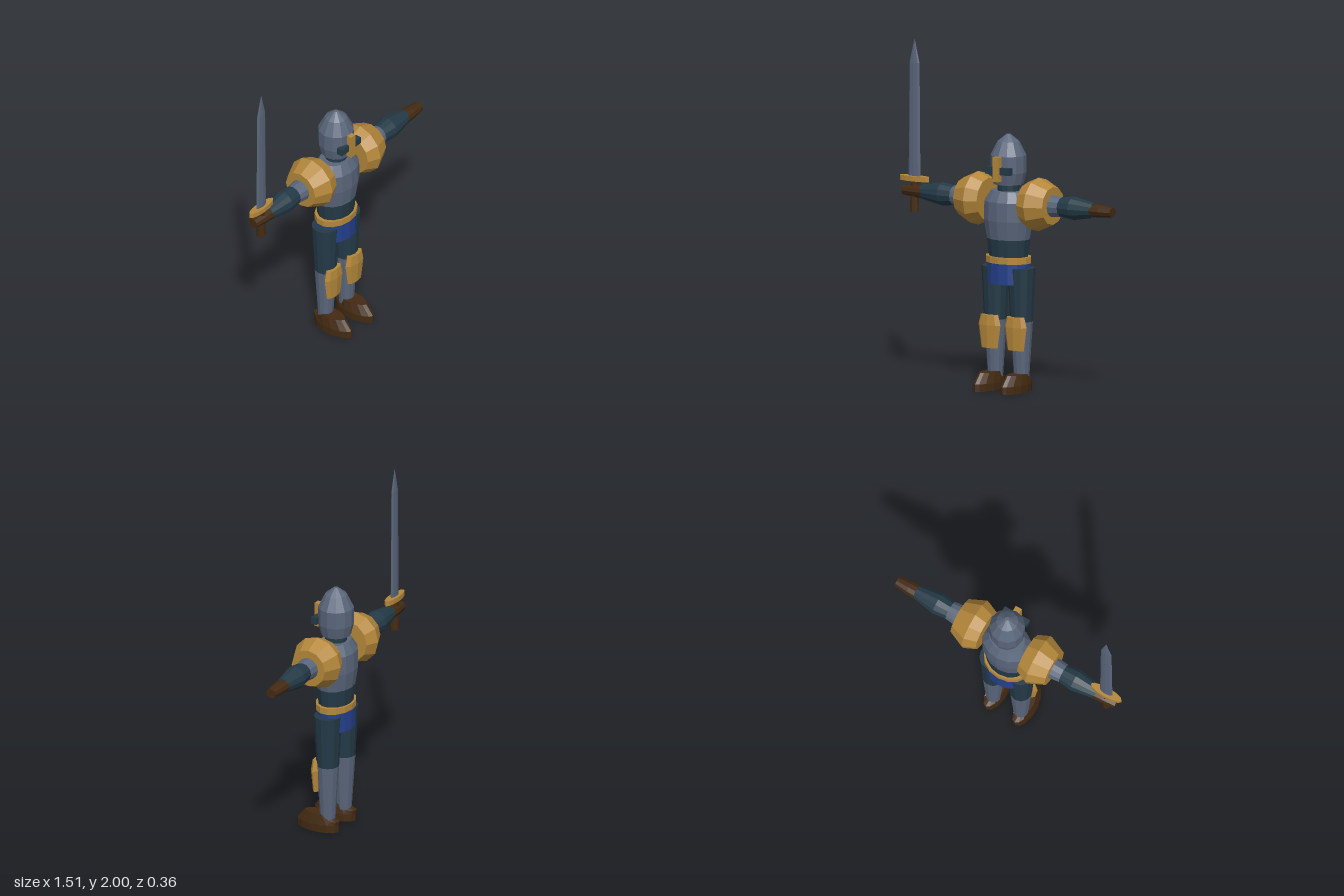
import * as THREE from 'three';

const mat = (name, color) => {
  const m = new THREE.MeshStandardMaterial({ color, flatShading: true });
  m.name = name;
  return m;
};

export function createModel() {
  const steel = mat('steel', 0x5a667b);
  const gold = mat('gold', 0xb4873a);
  const cloth = mat('dark teal', 0x243a47);
  const leather = mat('brown leather', 0x432a12);
  const blue = mat('blue cloth', 0x243f8a);

  const model = new THREE.Group();
  model.name = 'knight';
  const body = new THREE.Group();
  body.name = 'body';
  body.position.set(0.014, 0, -0.018);
  model.add(body);

  const add = (parent, name, geo, material, x = 0, y = 0, z = 0) => {
    const m = new THREE.Mesh(geo, material);
    m.name = name;
    m.position.set(x, y, z);
    parent.add(m);
    return m;
  };
  // Closed turned form from [radius, height] pairs, bottom to top
  const turned = (profile, segments = 12, sx = 1, sz = 1) => {
    const pts = profile.map(([r, y]) => new THREE.Vector2(r, y));
    pts.unshift(new THREE.Vector2(0, profile[0][1]));
    pts.push(new THREE.Vector2(0, profile[profile.length - 1][1]));
    return new THREE.LatheGeometry(pts, segments).scale(sx, 1, sz);
  };

  // Head
  add(body, 'neck', turned([[0.065, 1.14], [0.065, 1.24]]), cloth);
  add(body, 'helmet', turned([[0.088, 1.21], [0.105, 1.28], [0.105, 1.38], [0.065, 1.46], [0.012, 1.503]]), steel);
  add(body, 'visorSlit', new THREE.BoxGeometry(0.17, 0.042, 0.036), cloth, 0, 1.297, 0.1);
  add(body, 'noseGuard', new THREE.BoxGeometry(0.04, 0.145, 0.036), gold, 0, 1.308, 0.115);

  // Torso
  const flat = 0.78;
  add(body, 'chestPlate', turned([[0.136, 0.89], [0.156, 1.0], [0.153, 1.11], [0.11, 1.172]], 14, 1, flat), steel);
  add(body, 'waist', turned([[0.122, 0.77], [0.136, 0.89]], 14, 1, flat), cloth);
  add(body, 'belt', turned([[0.145, 0.75], [0.145, 0.788]], 14, 1, 0.75), gold);
  add(body, 'hipCloth', turned([[0.14, 0.628], [0.135, 0.76]], 14, 1, 0.76), blue);

  // Boot: an oval whose upper ring is drawn in and slopes down to the heel
  const bootGeo = () => {
    const g = turned([[1, 0], [1, 0.045], [0.78, 0.105]], 14);
    const p = g.attributes.position;
    for (let i = 0; i < p.count; i++) {
      const x = p.getX(i), y = p.getY(i), z = p.getZ(i);
      const top = y > 0.1;
      const width = z > 0 ? 1 - 0.25 * z * z : 1;
      const zz = 0.063 + z * 0.137 - (top ? 0.022 + Math.max(0, -z) * 0.02 : 0);
      const yy = top && z < -0.3 ? 0.068 : y;
      p.setXYZ(i, x * 0.061 * width, yy, zz);
    }
    return g;
  };

  for (const side of [-1, 1]) {
    // Leg
    const leg = new THREE.Group();
    leg.name = side > 0 ? 'leftLeg' : 'rightLeg';
    leg.position.x = side * 0.093;
    body.add(leg);
    add(leg, 'thigh', turned([[0.066, 0.41], [0.082, 0.725]]), cloth);
    add(leg, 'shin', turned([[0.043, 0.05], [0.066, 0.411]]), steel);
    add(leg, 'kneeGuard', turned([[0.058, 0.245], [0.078, 0.38], [0.062, 0.44]], 8, 1, 0.4), gold, 0, 0, 0.06);
    add(leg, 'boot', bootGeo(), leather, side * 0.004);

    // Arm, turned upright and laid out sideways
    const arm = new THREE.Group();
    arm.name = side > 0 ? 'leftArm' : 'rightArm';
    arm.position.y = 1.107;
    arm.rotation.z = -side * Math.PI / 2;
    body.add(arm);
    add(arm, 'shoulderGuard', turned([[0.125, 0.14], [0.158, 0.215], [0.112, 0.317]], 12), gold);
    add(arm, 'upperArm', turned([[0.068, 0.3], [0.058, 0.383]]), steel);
    add(arm, 'forearm', turned([[0.058, 0.382], [0.069, 0.465], [0.043, 0.61]]), cloth);
    add(arm, 'hand', turned([[0.046, 0.596], [0.043, 0.66], [0.033, 0.741]], 10, 0.85, 1), leather);
  }

  // Sword held in the right hand
  const sword = new THREE.Group();
  sword.name = 'sword';
  sword.position.x = -0.669;
  body.add(sword);
  add(sword, 'grip', turned([[0.028, 0.985], [0.022, 1.17]], 10), leather);
  add(sword, 'crossGuard', turned([[0.103, 1.165], [0.103, 1.195]], 12, 1, 0.28), gold);
  add(sword, 'blade', turned([[0.042, 1.19], [0.036, 1.86], [0.001, 2.0]], 8, 1, 0.3), steel);

  return model;
}
